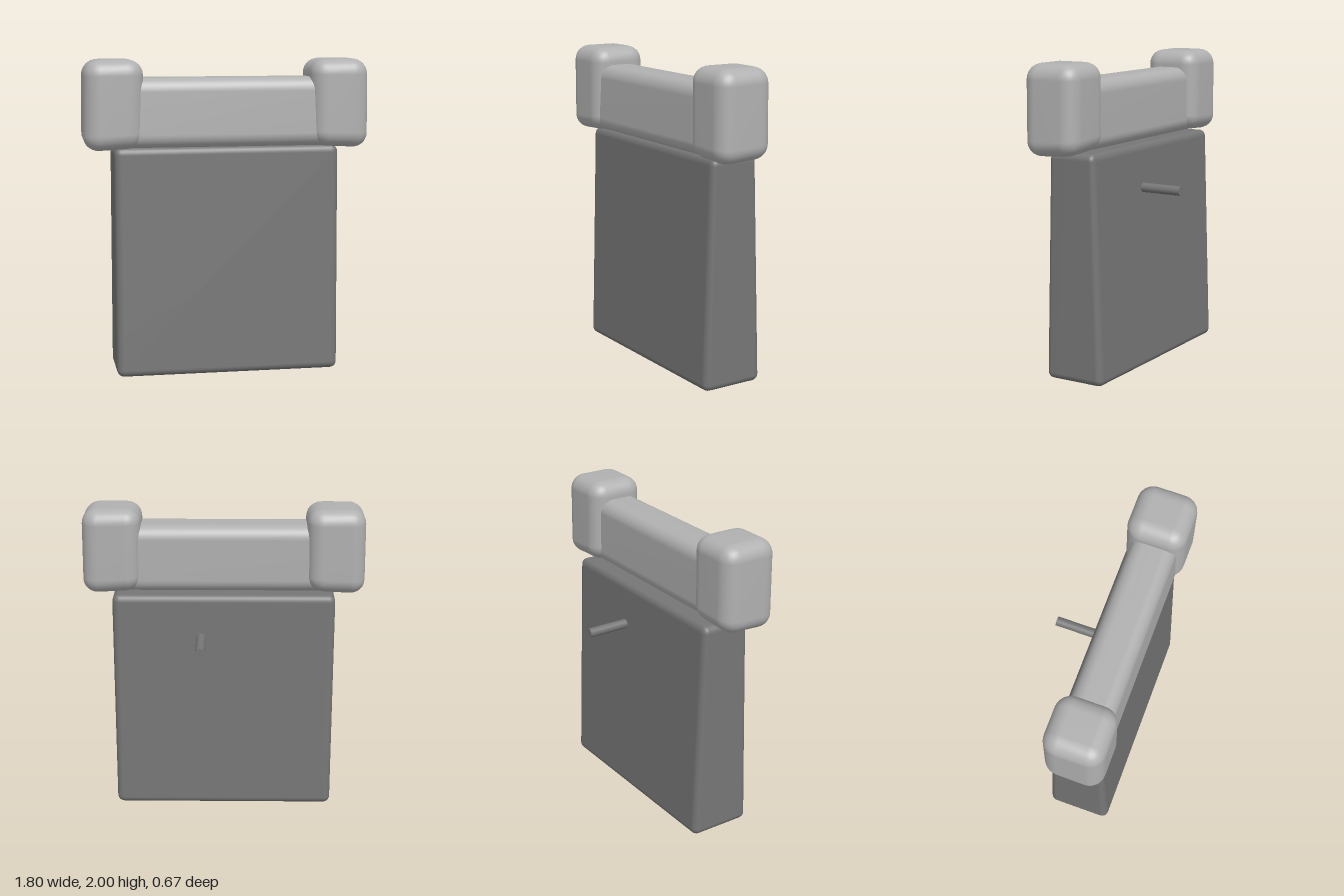
import * as THREE from 'three';
import { RoundedBoxGeometry } from 'three/addons/geometries/RoundedBoxGeometry.js';
import { mergeVertices } from 'three/addons/utils/BufferGeometryUtils.js';

const dark = new THREE.MeshStandardMaterial({ color: 0x767676 });
const light = new THREE.MeshStandardMaterial({ color: 0xb0b0b0 });

// Rounded box whose vertices are reshaped by a rule, then smoothed again
function softBox(name, material, size, centre, radius, rule) {
  let geometry = new RoundedBoxGeometry(...size, 4, radius);
  geometry.deleteAttribute('uv');
  geometry.deleteAttribute('normal');
  geometry = mergeVertices(geometry, 1e-4);
  const p = geometry.attributes.position;
  const v = new THREE.Vector3();
  for (let i = 0; i < p.count; i++) {
    v.fromBufferAttribute(p, i);
    rule(v, v.y / size[1] + 0.5);
    p.setXYZ(i, v.x, v.y, v.z);
  }
  geometry.computeVertexNormals();
  const mesh = new THREE.Mesh(geometry, material);
  mesh.name = name;
  mesh.position.set(...centre);
  return mesh;
}

export function createModel() {
  const model = new THREE.Group();
  model.name = 'taperedPanelWithBar';

  // Main slab, thinner towards the top
  model.add(softBox('body', dark, [1.424, 1.45, 0.416], [0, 0.73, 0.105], 0.045, (v, t) => {
    v.z *= 1 - 0.23 * t;
  }));

  // Crossbar resting on the slab, its front leaning back slightly
  model.add(softBox('crossbar', light, [1.4, 0.435, 0.295], [0, 1.67, 0.158], 0.085, (v, t) => {
    if (v.z > 0) v.z *= 1 - 0.1 * t;
  }));

  // Soft end blocks with a slanted underside
  for (const side of [-1, 1]) {
    model.add(softBox(side > 0 ? 'leftEndBlock' : 'rightEndBlock', light,
      [0.37, 0.57, 0.375], [side * 0.717, 1.715, 0.146], 0.1, (v, t) => {
        const inward = 0.5 - side * v.x / 0.37;
        const back = 0.5 - v.z / 0.375;
        v.y += (1 - t) * (0.02 * inward + 0.02 * back);
        v.x -= side * 0.006 * t;
      }));
  }

  // Peg sticking out of the back
  const peg = new THREE.Mesh(new THREE.CylinderGeometry(0.03, 0.03, 0.36, 24), dark);
  peg.name = 'backPeg';
  peg.rotation.x = Math.PI / 2;
  peg.position.set(0.145, 1.178, -0.16);
  model.add(peg);

  return model;
}
